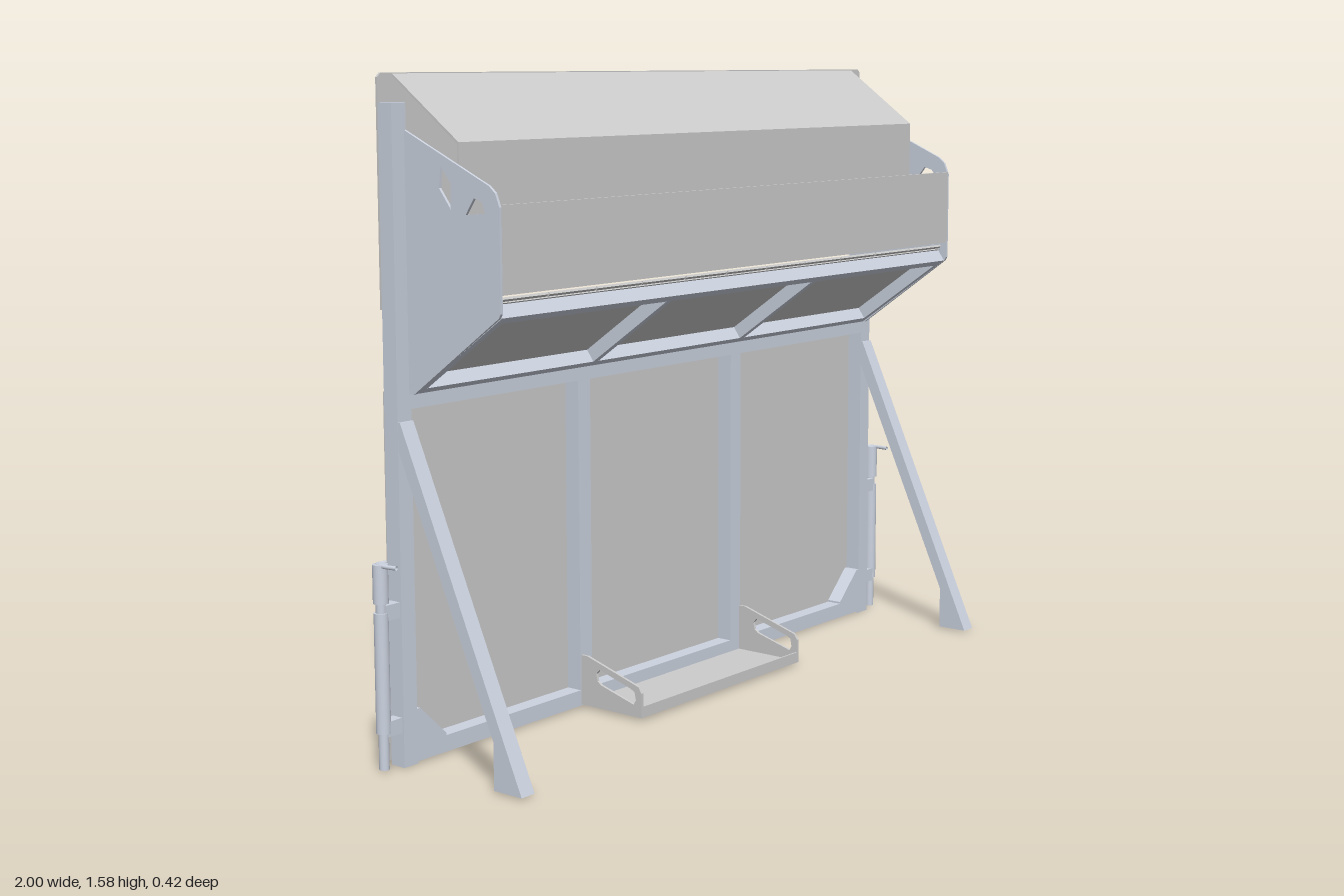
import * as THREE from 'three';

const grey = new THREE.MeshStandardMaterial({ color: 0xcccccc, side: THREE.DoubleSide });
const steel = new THREE.MeshStandardMaterial({ color: 0xccd3e0, side: THREE.DoubleSide });

function add(parent, name, geo, mat) {
  const mesh = new THREE.Mesh(geo, mat);
  mesh.name = name;
  parent.add(mesh);
  return mesh;
}

// Box given by its min and max on each axis
function bar(parent, name, mat, [x0, x1], [y0, y1], [z0, z1]) {
  const g = new THREE.BoxGeometry(x1 - x0, y1 - y0, z1 - z0);
  g.translate((x0 + x1) / 2, (y0 + y1) / 2, (z0 + z1) / 2);
  return add(parent, name, g, mat);
}

const pts = (list) => list.map(([a, b]) => new THREE.Vector2(a, b));

function outline(list, holes = []) {
  const s = new THREE.Shape(pts(list));
  holes.forEach((h) => s.holes.push(new THREE.Path(pts(h))));
  return s;
}

// Plate drawn in (x, y), from z0 to z1
function frontPlate(parent, name, mat, list, z0, z1, holes) {
  const g = new THREE.ExtrudeGeometry(outline(list, holes), { depth: z1 - z0, bevelEnabled: false });
  g.translate(0, 0, z0);
  return add(parent, name, g, mat);
}

// Plate drawn in (z, y), from x0 to x1
function sidePlate(parent, name, mat, list, x0, x1, holes) {
  const g = new THREE.ExtrudeGeometry(outline(list, holes), { depth: x1 - x0, bevelEnabled: false });
  g.rotateY(-Math.PI / 2);
  g.translate(x1, 0, 0);
  return add(parent, name, g, mat);
}

function tube(parent, name, mat, r, h, x, y, z) {
  const m = add(parent, name, new THREE.CylinderGeometry(r, r, h, 20), mat);
  m.position.set(x, y, z);
  return m;
}

const rect = (x0, x1, y0, y1) => [[x0, y0], [x1, y0], [x1, y1], [x0, y1]];

function createModel() {
  const root = new THREE.Group();
  root.name = 'wallUnit';
  const BACK = -0.197, FRONT = -0.155;

  // Frame rails and middle uprights
  bar(root, 'bottomRail', steel, [-0.9, 0.9], [0.005, 0.045], [BACK, FRONT]);
  bar(root, 'crossBeam', steel, [-0.9, 0.9], [0.826, 0.862], [BACK, FRONT]);
  bar(root, 'middleUpright', steel, [-0.33, -0.286], [0.045, 0.826], [BACK, FRONT]);
  bar(root, 'middleUpright', steel, [0.282, 0.325], [0.045, 0.826], [BACK, FRONT]);

  // Back panels
  frontPlate(root, 'lowerBackPanel', grey, rect(-0.935, 0.935, 0.285, 0.866), -0.203, BACK,
    [rect(-0.286, -0.272, 0.55, 0.602)]);
  bar(root, 'kickPanel', grey, [-0.935, 0.935], [0.008, 0.285], [-0.21, -0.2]);
  const slots = [-0.9, 0.9].map((x) => rect(x - 0.004, x + 0.004, 1.09, 1.12));
  frontPlate(root, 'upperBackPanel', grey,
    [[-0.938, 1.05], [0.938, 1.05], [0.938, 1.565], [0.928, 1.575], [-0.928, 1.575], [-0.938, 1.565]],
    -0.203, BACK, slots);

  // Canopy: sloping roof with a front drop
  sidePlate(root, 'canopy', grey,
    [[-0.2, 1.575], [0.005, 1.426], [0.005, 1.28], [0, 1.28], [0, 1.422], [-0.2, 1.569]], -0.893, 0.893);

  // Front panel of the bin
  bar(root, 'binFrontPanel', grey, [-0.893, 0.893], [1.1, 1.295], [0.124, 0.131]);

  // Sloping floor on a ribbed frame, local z runs up the slope
  const floor = new THREE.Group();
  floor.name = 'slopingFloor';
  floor.position.set(0, 0.86, -0.145);
  floor.rotation.x = -Math.atan2(0.19, 0.27);
  root.add(floor);
  bar(floor, 'floorBackBar', steel, [-0.89, 0.89], [0, 0.035], [0, 0.022]);
  bar(floor, 'floorFrontBar', steel, [-0.89, 0.89], [0, 0.035], [0.305, 0.33]);
  for (const x of [-0.88, -0.295, 0.295, 0.88])
    bar(floor, 'floorRib', steel, [x - 0.01, x + 0.01], [0, 0.035], [0.022, 0.305]);
  const n = 11, w = 1.78 / n;
  for (let i = 0; i < n; i++) {
    const x = -0.89 + i * w;
    bar(floor, 'floorBoard', grey, [x + 0.002, x + w - 0.002], [0.037, 0.043], [0, 0.345]);
    for (const z of [0.06, 0.325])
      tube(floor, 'floorBolt', steel, 0.006, 0.006, x + w / 2, 0.045, z);
  }
  bar(floor, 'floorUnderlay', grey, [-0.89, 0.89], [0.034, 0.037], [0, 0.335]);

  // Bin end plates: the left one has a full window, the right one a small opening
  const endShape = [[-0.157, 0.86], [-0.14, 0.86], [0.124, 1.05], [0.13, 1.06], [0.13, 1.29],
    [0.118, 1.32], [0.1, 1.335], [-0.157, 1.45]];
  const window = [[0.105, 1.11], [0.095, 1.095], [0.083, 1.092], [0.026, 1.145], [0.028, 1.272],
    [0.055, 1.307], [0.078, 1.3], [0.102, 1.268]];
  const opening = [[0.088, 1.275], [0.03, 1.27], [0.055, 1.307], [0.078, 1.3]];
  const slit = [[-0.015, 1.28], [-0.015, 1.337], [-0.045, 1.373], [-0.05, 1.325]];
  sidePlate(root, 'leftEndPlate', steel, endShape, 0.893, 0.9, [window, slit]);
  sidePlate(root, 'rightEndPlate', steel, endShape, -0.9, -0.893, [opening, slit]);

  for (const s of [-1, 1]) {
    const span = (a, b) => (s > 0 ? [a, b] : [-b, -a]);
    const side = new THREE.Group();
    side.name = s > 0 ? 'leftSide' : 'rightSide';
    root.add(side);

    // Post, corner gusset and slanted brace
    bar(side, 'post', steel, span(0.895, 0.938), [0, 1.51], [BACK, FRONT]);
    frontPlate(side, 'cornerGusset', steel,
      [[s * 0.9, 0.04], [s * 0.9, 0.13], [s * 0.885, 0.13], [s * 0.802, 0.05], [s * 0.802, 0.04]], BACK, FRONT);
    sidePlate(side, 'brace', steel,
      [[0.208, 0.004], [0.125, 0.004], [0.125, 0.115], [-0.155, 0.735], [-0.155, 0.8], [-0.149, 0.8]],
      ...span(0.895, 0.937));

    // Drop bolt in its sleeve, with brackets and a bent handle
    tube(side, 'boltSleeve', steel, 0.017, 0.28, s * 0.982, 0.23, -0.175);
    tube(side, 'bolt', steel, 0.012, 0.475, s * 0.982, 0.242, -0.175);
    tube(side, 'boltCap', steel, 0.018, 0.09, s * 0.982, 0.437, -0.175);
    for (const y of [0.1, 0.37])
      bar(side, 'boltBracket', steel, span(0.93, 0.982), [y - 0.018, y + 0.018], [-0.19, -0.16]);
    const handle = new THREE.CatmullRomCurve3([[0.955, -0.185], [0.982, -0.185], [0.988, -0.16], [0.984, -0.12]]
      .map(([x, z]) => new THREE.Vector3(s * x, 0.48, z)));
    add(side, 'boltHandle', new THREE.TubeGeometry(handle, 16, 0.005, 8), steel);

    // Step end plate with a slanted grip slot
    sidePlate(side, 'stepEndPlate', grey,
      [[-0.155, 0.01], [0.04, 0.01], [0.04, 0.07], [0.03, 0.085], [-0.135, 0.135], [-0.155, 0.135]],
      ...span(0.32, 0.327),
      [[[0.015, 0.038], [0.022, 0.05], [0.018, 0.07], [0.005, 0.077], [-0.095, 0.107], [-0.106, 0.095],
        [-0.102, 0.077], [-0.09, 0.068]]]);
  }

  // Step tray
  bar(root, 'stepTray', grey, [-0.327, 0.327], [0.008, 0.014], [FRONT, 0.04]);
  bar(root, 'stepLip', grey, [-0.327, 0.327], [0.008, 0.036], [0.035, 0.04]);
  return root;
}

export { createModel };
